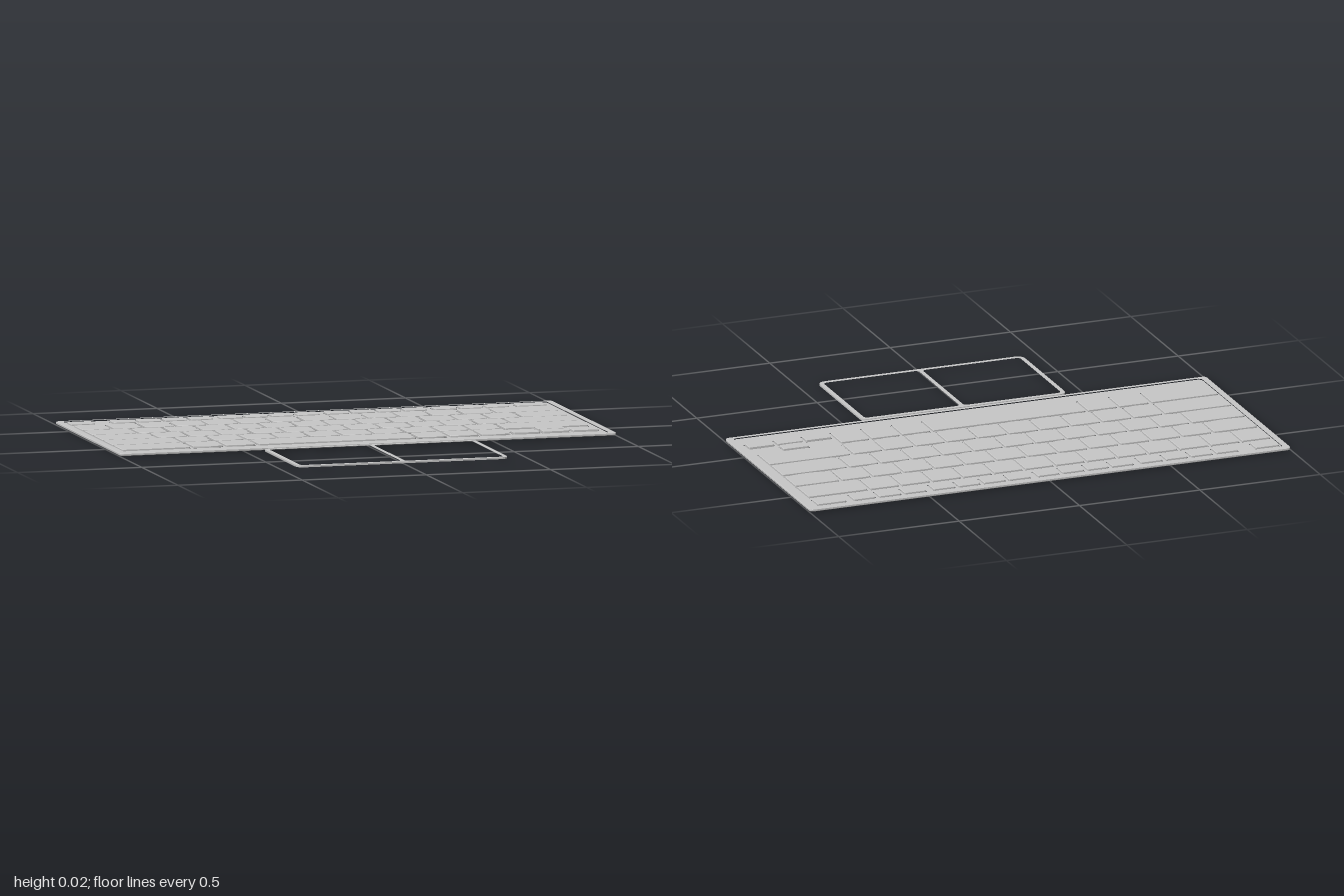
import * as THREE from 'three';

const grey = new THREE.MeshStandardMaterial({ color: 0xc6c6c6 });
grey.name = 'grey';

// Rounded rectangle in plan; shape y is -z. "bow" lifts the front corners.
function outline(Type, [x0, x1, z0, z1], r, inset = 0, bow = 0) {
  const l = x0 + inset, rt = x1 - inset, back = -z0 - inset, front = -z1 + inset;
  const s = new Type();
  s.moveTo(l + r, back);
  s.lineTo(rt - r, back);
  s.quadraticCurveTo(rt, back, rt, back - r);
  s.lineTo(rt, front + r + bow);
  s.quadraticCurveTo(rt, front + bow, rt - r, front + bow);
  if (bow) s.quadraticCurveTo((l + rt) / 2, front - bow, l + r, front + bow);
  else s.lineTo(l + r, front);
  s.quadraticCurveTo(l, front + bow, l, front + r + bow);
  s.lineTo(l, back - r);
  s.quadraticCurveTo(l, back, l + r, back);
  return s;
}

// Flat slab between two heights, optionally with a small bevel
function slab(name, shape, y0, y1, bevel = 0) {
  const geo = new THREE.ExtrudeGeometry(shape, {
    depth: y1 - y0 - 2 * bevel, curveSegments: 6, bevelEnabled: bevel > 0,
    bevelThickness: bevel, bevelSize: bevel, bevelOffset: -bevel, bevelSegments: 1,
  });
  geo.rotateX(-Math.PI / 2);
  geo.translate(0, y0 + bevel, 0);
  const mesh = new THREE.Mesh(geo, grey);
  mesh.name = name;
  return mesh;
}

// A run of n equal keys from x0 to x1, separated by narrow bars
function run(x0, x1, n, gap = 0.008) {
  const pitch = (x1 - x0 + gap) / n;
  return Array.from({ length: n }, (_, i) => [x0 + i * pitch, x0 + (i + 1) * pitch - gap]);
}

export function createModel() {
  const model = new THREE.Group();
  model.name = 'keyboardAndTrackpad';

  const L = -0.968, R = 0.953;
  const rows = [
    { name: 'functionKey', z: [-0.655, -0.585], bow: 0.002, keys: [
      [L, -0.866], ...run(-0.797, -0.39, 4, 0.011), ...run(-0.364, 0.038, 4, 0.011),
      ...run(0.064, 0.471, 4, 0.011), ...run(0.497, 0.802, 3, 0.011), [0.829, R]] },
    { name: 'numberKey', z: [-0.559, -0.43], bow: 0.01, keys: [
      ...run(L, 0.695, 13), [0.705, R]] },
    { name: 'upperLetterKey', z: [-0.42, -0.292], bow: 0.01, keys: [
      [L, -0.786], ...run(-0.777, 0.759, 12), [0.769, R]] },
    { name: 'homeLetterKey', z: [-0.284, -0.156], bow: 0.01, keys: [
      [L, -0.749], ...run(-0.739, 0.674, 11), [0.684, R]] },
    { name: 'lowerLetterKey', z: [-0.147, -0.018], bow: 0.01, keys: [
      [L, -0.69], ...run(-0.682, 0.604, 10), [0.614, R]] },
    { name: 'bottomKey', z: [-0.007, 0.121], bow: 0.008, keys: [
      [L, -0.69], ...run(-0.68, -0.425, 2), [-0.417, 0.219], ...run(0.227, 0.6, 3)] },
    { name: 'arrowKey', z: [0.058, 0.118], bow: 0.002, keys: run(0.61, 0.957, 3) },
    { name: 'arrowKey', z: [-0.007, 0.048], bow: 0.002, keys: [[0.727, 0.84]] },
  ];

  // Keys: a skirt closing the opening in the deck, and a bevelled cap
  const inner = [-0.975, 0.975, -0.684, 0.192];
  const deck = outline(THREE.Shape, inner, 0.022);
  const keys = new THREE.Group();
  keys.name = 'keys';
  for (const { name, z, bow, keys: spans } of rows) {
    const arrow = name === 'arrowKey';
    for (const [x0, x1] of spans) {
      const box = [x0, x1, ...z];
      const capBow = x1 - x0 < 0.2 ? bow : 0.002;
      deck.holes.push(outline(THREE.Path, box, 0.005));
      keys.add(
        slab(name + 'Skirt', outline(THREE.Shape, box, 0.005), arrow ? 0.15 : 0.1535, 0.156),
        slab(name + 'Cap', outline(THREE.Shape, box, 0.005, 0.003, capBow),
          0.155, arrow ? 0.167 : 0.165, 0.002));
    }
  }
  model.add(slab('deck', deck, 0.153, 0.158), keys);

  // Raised border around the deck
  const rim = outline(THREE.Shape, [-1, 1, -0.698, 0.208], 0.02);
  rim.holes.push(outline(THREE.Path, inner, 0.022));
  model.add(slab('rim', rim, 0.1525, 0.1625, 0.002));

  // Open trackpad frame with a central divider
  const pad = [-0.43, 0.422, 0.221, 0.698], w = 0.018;
  const frame = outline(THREE.Shape, pad, 0.035);
  frame.holes.push(
    outline(THREE.Path, [pad[0] + w, -0.008, pad[2] + w, pad[3] - w], 0.018),
    outline(THREE.Path, [0.009, pad[1] - w, pad[2] + w, pad[3] - w], 0.018));
  model.add(slab('trackpadFrame', frame, 0.153, 0.16));

  return model;
}
